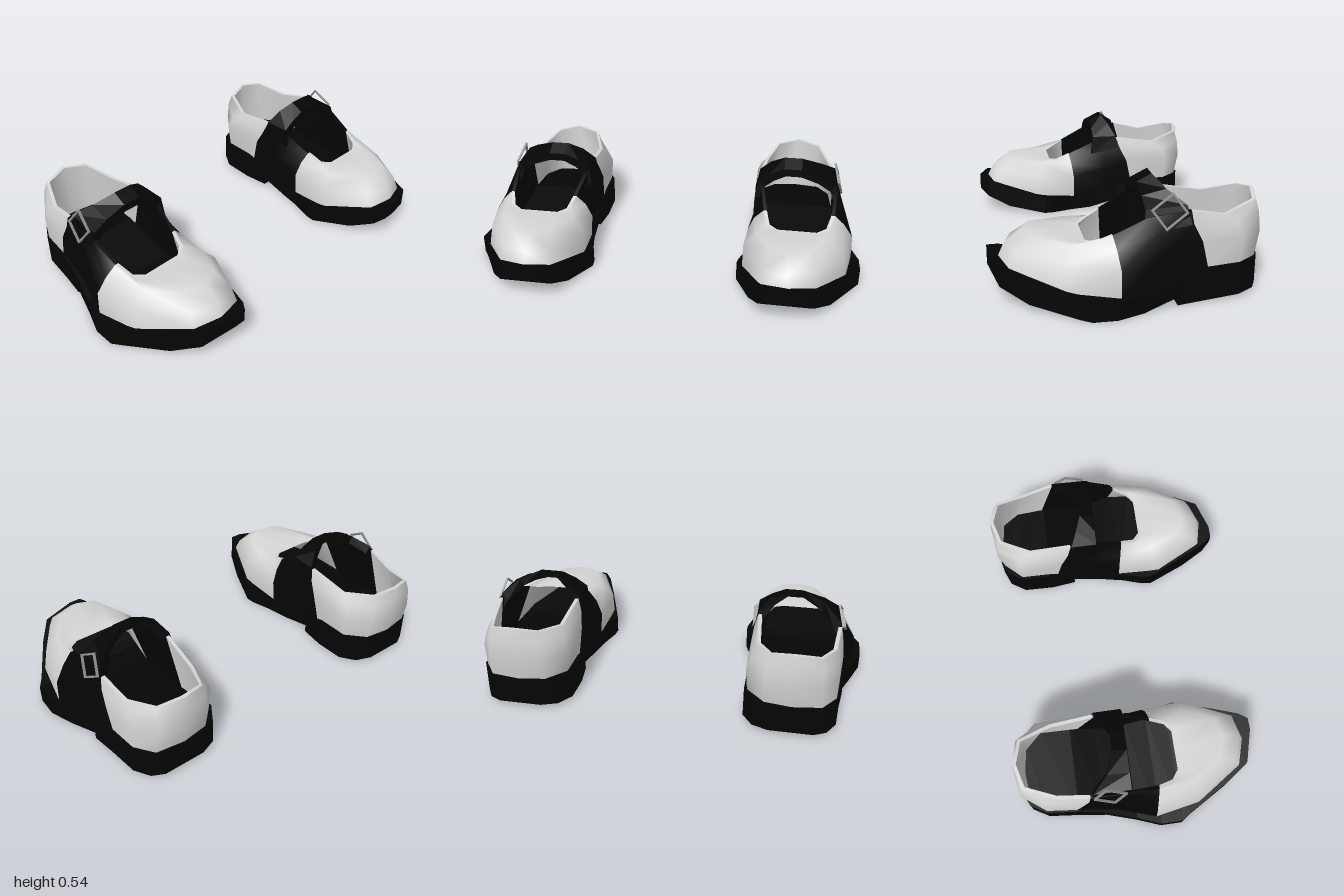
import * as THREE from 'three';

const mat = (name, color, side = THREE.FrontSide) =>
  Object.assign(new THREE.MeshStandardMaterial({ color, side }), { name });

// Flat-shaded loft through closed rings of points, capped at both ends
function loft(rings) {
  const pos = [];
  const n = rings[0].length;
  const quad = (a, b, c, d) => pos.push(...a, ...b, ...c, ...a, ...c, ...d);
  quad(...rings[0]);
  for (let i = 0; i < rings.length - 1; i++) {
    const a = rings[i], b = rings[i + 1];
    for (let k = 0; k < n; k++) {
      const m = (k + 1) % n;
      quad(a[k], b[k], b[m], a[m]);
    }
  }
  quad(...[...rings[rings.length - 1]].reverse());
  const g = new THREE.BufferGeometry();
  g.setAttribute('position', new THREE.Float32BufferAttribute(pos, 3));
  g.computeVertexNormals();
  return g;
}

// Sole slice: [z, inner x, outer x, bottom y, top y]
const slice = ([z, x0, x1, y0, y1]) => [[x0, y0, z], [x1, y0, z], [x1, y1, z], [x0, y1, z]];

// Rings of the upper: toe centre, outer side, heel, inner side (x, y, z)
const BASE = [
  [.64, .18, .567], [.77, .165, .53], [.92, .105, .3], [.96, .08, .07],
  [.90, .10, -.12], [.88, .155, -.33], [.865, .16, -.48], [.80, .16, -.57],
  [.66, .16, -.59], [.53, .16, -.57], [.445, .16, -.48], [.445, .145, -.28],
  [.455, .10, -.12], [.43, .08, .07], [.41, .105, .3], [.51, .165, .54]];
const MID = [
  [.63, .235, .54], [.76, .235, .50], [.90, .22, .29], [.955, .20, .07],
  [.905, .24, -.12], [.885, .28, -.30], [.865, .28, -.49], [.79, .28, -.595],
  [.66, .28, -.613], [.53, .28, -.595], [.435, .28, -.49], [.435, .28, -.25],
  [.45, .24, -.12], [.42, .20, .07], [.41, .22, .28], [.515, .235, .505]];
const SHOULDER = [
  [.63, .30, .455], [.74, .298, .42], [.84, .285, .27], [.905, .275, .08],
  [.89, .34, -.11], [.877, .36, -.26], [.855, .34, -.47], [.79, .37, -.585],
  [.66, .38, -.61], [.53, .37, -.585], [.455, .34, -.47], [.445, .36, -.21],
  [.455, .34, -.11], [.45, .275, .08], [.47, .285, .26], [.54, .298, .42]];
const RIM = [
  [.67, .28, .215], [.78, .28, .21], [.83, .287, .17], [.855, .325, .09],
  [.87, .40, -.06], [.867, .42, -.25], [.845, .385, -.41], [.78, .425, -.57],
  [.66, .445, -.603], [.54, .425, -.57], [.475, .385, -.41], [.462, .42, -.19],
  [.47, .40, -.06], [.495, .325, .09], [.515, .287, .17], [.56, .28, .21]];

// Move a point towards the foot's centre line
function inset([x, y, z], d) {
  const c = new THREE.Vector3(.665, y, THREE.MathUtils.clamp(z, -.4, .1));
  const p = new THREE.Vector3(x, y, z);
  return p.add(c.sub(p).setLength(d)).toArray();
}

// Smooth-shaded closed skin through rings; side panels use material 1, the rest 0
function skin(rings) {
  const cols = RIM.length, rows = rings.length - 1;
  const index = [];
  const g = new THREE.BufferGeometry();
  for (let c = 0; c < cols; c++) {
    const d = (c + 1) % cols;
    for (let r = 0; r < rows; r++) {
      const a = r * cols, b = a + cols;
      index.push(a + c, a + d, b + d, a + c, b + d, b + c);
    }
    const panel = c === 3 || c === 4 || c === 11 || c === 12;
    g.addGroup(c * rows * 6, rows * 6, panel ? 1 : 0);
  }
  g.setAttribute('position', new THREE.Float32BufferAttribute(rings.flat(2), 3));
  g.setIndex(index);
  g.computeVertexNormals();
  return g;
}

// Mirror in x, keeping faces outward
function mirrored(geometry) {
  const g = geometry.index ? geometry.toNonIndexed() : geometry.clone();
  g.scale(-1, 1, 1);
  for (const a of Object.values(g.attributes)) {
    const s = a.itemSize;
    for (let i = 0; i < a.count; i += 3)
      for (let k = 0; k < s; k++) {
        const p = (i + 1) * s + k, q = p + s;
        [a.array[p], a.array[q]] = [a.array[q], a.array[p]];
      }
  }
  return g;
}

export function createModel() {
  const white = mat('white leather', 0xd6d6d6, THREE.DoubleSide);
  const black = mat('black leather', 0x050505, THREE.DoubleSide);
  const metal = mat('buckle metal', 0x8c8c8c);
  const left = new THREE.Group();
  left.name = 'leftShoe';
  const add = (name, geometry, material) => {
    const m = new THREE.Mesh(geometry, material);
    m.name = name;
    left.add(m);
  };

  // Sole and heel block
  add('sole', loft([
    [.615, .54, .60, .125, .195], [.57, .505, .765, .085, .182],
    [.45, .455, .85, .03, .15], [.25, .38, .965, 0, .1],
    [.20, .385, 1.0, 0, .09], [.09, .42, 1.0, 0, .08],
    [-.03, .445, .955, 0, .085], [-.19, .45, .91, .04, .125],
    [-.30, .44, .88, .05, .15]].map(slice)), black);
  add('heel', loft([
    [-.19, .448, .908, 0, .125], [-.32, .43, .89, .005, .16],
    [-.48, .43, .875, .015, .165], [-.56, .48, .83, .02, .165],
    [-.592, .56, .77, .022, .165]].map(slice)), black);

  // Upper with side panels, rolled rim and lining
  const innerRim = RIM.map(p => inset(p, .018));
  const innerBase = BASE.map(p => inset(p, .018));
  add('upper', skin([BASE, MID, SHOULDER, RIM]), [white, black]);
  add('rim', skin([RIM, innerRim]), [white, black]);
  add('lining', skin([innerRim, innerBase]), [white, black]);

  // Instep strap: [x, front y, front z, back y, back z]
  const strap = [
    [.447, .33, -.04, .36, -.20], [.457, .43, -.05, .43, -.185],
    [.515, .47, -.05, .495, -.15], [.585, .50, -.05, .535, -.12],
    [.675, .50, -.05, .535, -.12], [.78, .47, -.05, .495, -.16],
    [.855, .43, -.05, .44, -.235], [.885, .33, -.04, .36, -.25]];
  add('strap', loft(strap.map(([x, fy, fz, by, bz]) => {
    const dx = (.665 - x) * .14, dy = x < .45 || x > .88 ? 0 : .04;
    return [[x + dx, fy - dy, fz], [x, fy, fz], [x, by, bz], [x + dx, by - dy, bz]];
  })), black);

  // Square buckle frame on the outer side
  const square = (w, h) => [[-w, -h], [w, -h], [w, h], [-w, h]].map(p => new THREE.Vector2(...p));
  const frame = new THREE.Shape(square(.062, .056));
  frame.holes.push(new THREE.Path(square(.053, .047)));
  const buckle = new THREE.ExtrudeGeometry(frame, { depth: .01, bevelEnabled: false })
    .rotateZ(.61).rotateY(Math.PI / 2).rotateZ(.29).translate(.866, .42, -.153);
  add('buckle', buckle, metal);

  // Matching right shoe
  const right = new THREE.Group();
  right.name = 'rightShoe';
  for (const m of left.children) {
    const copy = new THREE.Mesh(mirrored(m.geometry), m.material);
    copy.name = m.name;
    right.add(copy);
  }
  const model = new THREE.Group();
  model.name = 'strapShoes';
  model.add(left, right);
  return model;
}
